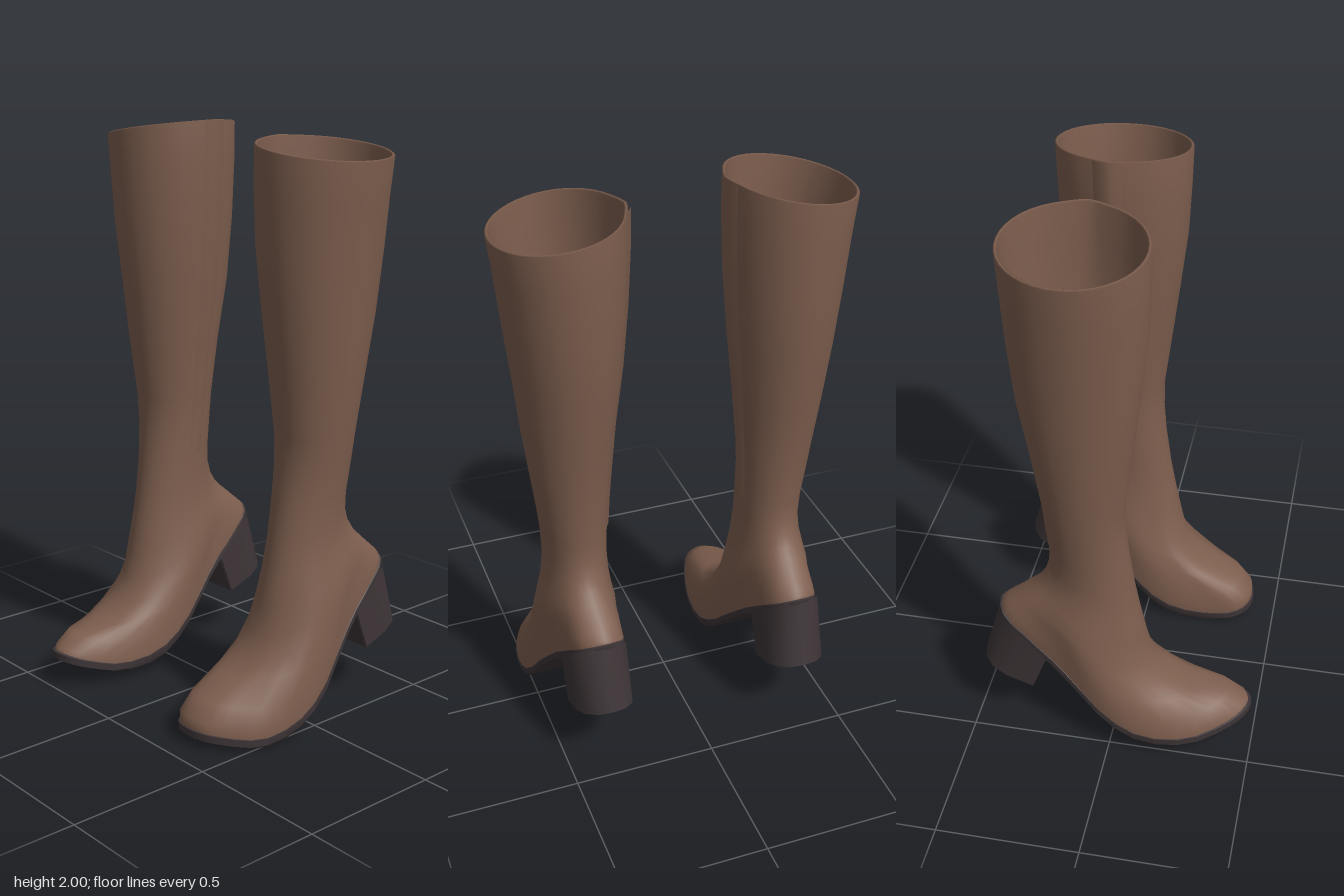
import * as THREE from 'three';
import { toCreasedNormals } from 'three/addons/utils/BufferGeometryUtils.js';

const N = 40;
const lerp = THREE.MathUtils.lerp;

// skin a stack of rings; side = -1 mirrors the part across x
function loft(rings, side, closed = true) {
  const n = rings[0].length, pos = [], idx = [];
  for (const r of rings) for (const p of r) pos.push(p.x * side, p.y, p.z);
  for (let i = 0; i < rings.length - 1; i++) {
    for (let j = 0; j < (closed ? n : n - 1); j++) {
      const k = (j + 1) % n;
      const a = i * n + j, b = i * n + k, c = a + n, d = b + n;
      if (side > 0) idx.push(a, b, c, b, d, c);
      else idx.push(a, c, b, b, c, d);
    }
  }
  const g = new THREE.BufferGeometry();
  g.setAttribute('position', new THREE.Float32BufferAttribute(pos, 3));
  g.setIndex(idx);
  g.computeVertexNormals();
  return g;
}

// height of the bent sole at z
function heightAt(points, z) {
  for (let i = 1; i < points.length; i++) {
    const [z0, y0] = points[i - 1], [z1, y1] = points[i];
    if (z <= z1 || i === points.length - 1) return lerp(y0, y1, Math.max(0, Math.min(1, (z - z0) / (z1 - z0))));
  }
}

// shaft sections: y, z back, z front, x inner, x outer
const SHAFT = [
  [0.79, -0.225, 0.047, 0.25, 0.477], [0.9, -0.235, 0.037, 0.247, 0.49],
  [1.0, -0.243, 0.037, 0.24, 0.503], [1.2, -0.272, 0.062, 0.222, 0.528],
  [1.4, -0.31, 0.088, 0.198, 0.548], [1.6, -0.33, 0.112, 0.18, 0.57],
  [1.78, -0.34, 0.12, 0.172, 0.588], [1.9, -0.345, 0.122, 0.172, 0.603],
];

// upper foot sections: z back, y back, z front, y front, x inner, x outer, roundness, follow sole
const upperFoot = (toe) => [
  [-0.41, 0.51, ...toe[0], 0.19, 0.53, 0, 1],
  [-0.405, 0.523, ...toe[1], 0.188, 0.532, 0, 1],
  [-0.385, 0.54, ...toe[2], 0.192, 0.53, 0.05, 0.95],
  [-0.36, 0.56, ...toe[3], 0.2, 0.522, 0.15, 0.7],
  [-0.33, 0.585, ...toe[4], 0.21, 0.515, 0.3, 0.4],
  [-0.3, 0.61, 0.13, 0.33, 0.22, 0.51, 0.5, 0.2],
  [-0.27, 0.64, 0.11, 0.42, 0.235, 0.495, 0.7, 0.05],
  [-0.245, 0.68, 0.088, 0.53, 0.247, 0.478, 0.9, 0],
  [-0.23, 0.73, 0.068, 0.64, 0.252, 0.471, 1, 0],
];

const HEEL_SIDE = [[0.29, 0.43, -0.38], [0.258, 0.46, -0.29], [0.24, 0.485, -0.17], [0.205, 0.52, -0.04], [0.19, 0.53, 0.1]];

const BOOTS = [
  { // left boot, toe flat
    name: 'leftBoot', side: 1, top: 1.935, slope: 0.135,
    tip: [0.32, 0.41], front: [[0.205, 0.51, 0.25], [0.22, 0.44, 0.35], [0.26, 0.39, 0.395]],
    sole: [[-0.41, 0.51], [-0.3, 0.43], [-0.2, 0.35], [-0.1, 0.245], [-0.05, 0.18], [0, 0.125], [0.05, 0.09], [0.1, 0.065], [0.2, 0.037], [0.3, 0.037], [0.41, 0.06]],
    toe: [[0.41, 0.06], [0.408, 0.1], [0.36, 0.155], [0.25, 0.205], [0.18, 0.25]],
  },
  { // right boot, toe lifted
    name: 'rightBoot', side: -1, top: 1.965, slope: 0.155,
    tip: [0.33, 0.48], front: [[0.205, 0.5, 0.27], [0.24, 0.435, 0.4], [0.275, 0.38, 0.46]],
    sole: [[-0.41, 0.51], [-0.3, 0.43], [-0.2, 0.35], [-0.1, 0.255], [-0.05, 0.2], [0, 0.155], [0.05, 0.12], [0.1, 0.095], [0.2, 0.07], [0.3, 0.075], [0.4, 0.105], [0.48, 0.135]],
    toe: [[0.48, 0.13], [0.47, 0.155], [0.41, 0.193], [0.29, 0.203], [0.19, 0.245]],
  },
];

function makeBoot(b, leather, rubber) {
  const boot = new THREE.Group();
  boot.name = b.name;
  const add = (geometry, material, name) => {
    const mesh = new THREE.Mesh(geometry, material);
    mesh.name = name;
    boot.add(mesh);
  };

  // foot outline, from toe along the outer side to the heel and back
  const sides = [...HEEL_SIDE, ...b.front];
  const controls = [
    new THREE.Vector3(b.tip[0], 0, b.tip[1]),
    ...[...sides].reverse().map(([, x, z]) => new THREE.Vector3(x, 0, z)),
    new THREE.Vector3(0.355, 0, -0.41),
    ...sides.map(([x, , z]) => new THREE.Vector3(x, 0, z)),
  ];
  const curve = new THREE.CatmullRomCurve3(controls, true);
  const outline = Array.from({ length: N }, (_, j) => curve.getPoint(j / N));

  // foot rings, blending from the outline to an ellipse
  const footRing = ([zb, yb, zf, yf, x0, x1, round, follow]) => outline.map((p, j) => {
    const a = (j / N) * Math.PI * 2;
    const t = lerp((p.z + 0.41) / (b.tip[1] + 0.41), (1 + Math.cos(a)) / 2, round);
    const s = lerp((p.x - 0.19) / 0.34, (1 + Math.sin(a)) / 2, round);
    const z = lerp(zb, zf, t);
    const overSole = heightAt(b.sole, z) + lerp(yb - heightAt(b.sole, zb), yf - heightAt(b.sole, zf), t);
    return new THREE.Vector3(lerp(x0, x1, s), lerp(lerp(yb, yf, t), overSole, follow), z);
  });

  // shaft rings, slanted at the top and pinched at the inner seam
  const shaftRing = ([y, zb, zf, x0, x1], inset = 0, lift = 0) => Array.from({ length: N }, (_, j) => {
    const a = (j / N) * Math.PI * 2, k = Math.max(0, (y - 1.2) / 0.7);
    const pinch = 0.012 * k * Math.exp(-(((a - Math.PI * 1.5) / 0.2) ** 2));
    const x = (x0 + x1) / 2 + Math.sin(a) * ((x1 - x0) / 2 - inset) - pinch;
    const z = (zb + zf) / 2 + Math.cos(a) * ((zf - zb) / 2 - inset);
    return new THREE.Vector3(x, y + k * (b.top - 1.9 - b.slope * (x - 0.385)) + lift, z);
  });

  const foot = upperFoot(b.toe).map(footRing);
  const shaft = SHAFT.map((s) => shaftRing(s));
  const rim = SHAFT[SHAFT.length - 1];
  const lining = [...SHAFT].reverse().map((s) => shaftRing(s, 0.012));
  add(loft([...foot, ...shaft, shaftRing(rim, 0.006, 0.004), ...lining], b.side), leather, 'upper');

  // dark inside floor
  const floor = lining[lining.length - 1];
  const middle = floor.map(() => new THREE.Vector3(0.363, 0.785, -0.09));
  add(loft([floor, middle], b.side), rubber, 'insole');

  // raised overlap along the inner seam
  const offsets = [-0.002, 0.009, 0.009, -0.002];
  const flap = shaft.map((ring) => offsets.map((o, i) => {
    const p = ring[28 + i].clone();
    p.x -= o;
    return p;
  }));
  add(loft(flap, b.side, false), leather, 'seamFlap');

  // thin bent sole, closed underneath along its centre line
  const soleRing = (scale, drop) => outline.map((p) => new THREE.Vector3(
    lerp(0.345, p.x, scale), heightAt(b.sole, p.z) - drop, p.z * (scale ? scale : 0.98)));
  const sole = loft([soleRing(0, 0.03), soleRing(0.97, 0.03), soleRing(1.015, 0.02), soleRing(1.015, -0.004), soleRing(0.97, -0.006)], b.side);
  add(toCreasedNormals(sole, 0.7), rubber, 'sole');

  // block heel with a flat front and rounded back
  const half = [[1, 0.02], [1, 0.5], [0.84, 0.78], [0.47, 0.95]];
  const shape = [[0.95, 0], ...half, [0, 1], ...half.map(([x, t]) => [-x, t]).reverse(), [-0.95, 0]];
  const heelRing = (zf, yf, zb, yb, w) => shape.map(([x, t]) =>
    new THREE.Vector3(0.36 + x * w, lerp(yf, yb, t), lerp(zf, zb, t)));
  const base = heelRing(-0.285, 0.2, -0.48, 0.272, 0.103);
  const centre = shape.map(() => new THREE.Vector3(0.36, 0.235, -0.385));
  const heel = loft([centre, base, heelRing(-0.225, 0.36, -0.413, 0.51, 0.104)], b.side);
  add(toCreasedNormals(heel, 0.7), rubber, 'heel');
  return boot;
}

export function createModel() {
  const leather = new THREE.MeshStandardMaterial({ color: 0x7d5e4e });
  leather.name = 'brown leather';
  const rubber = new THREE.MeshStandardMaterial({ color: 0x3d3436 });
  rubber.name = 'dark rubber';
  const model = new THREE.Group();
  model.name = 'boots';
  for (const b of BOOTS) model.add(makeBoot(b, leather, rubber));
  return model;
}
